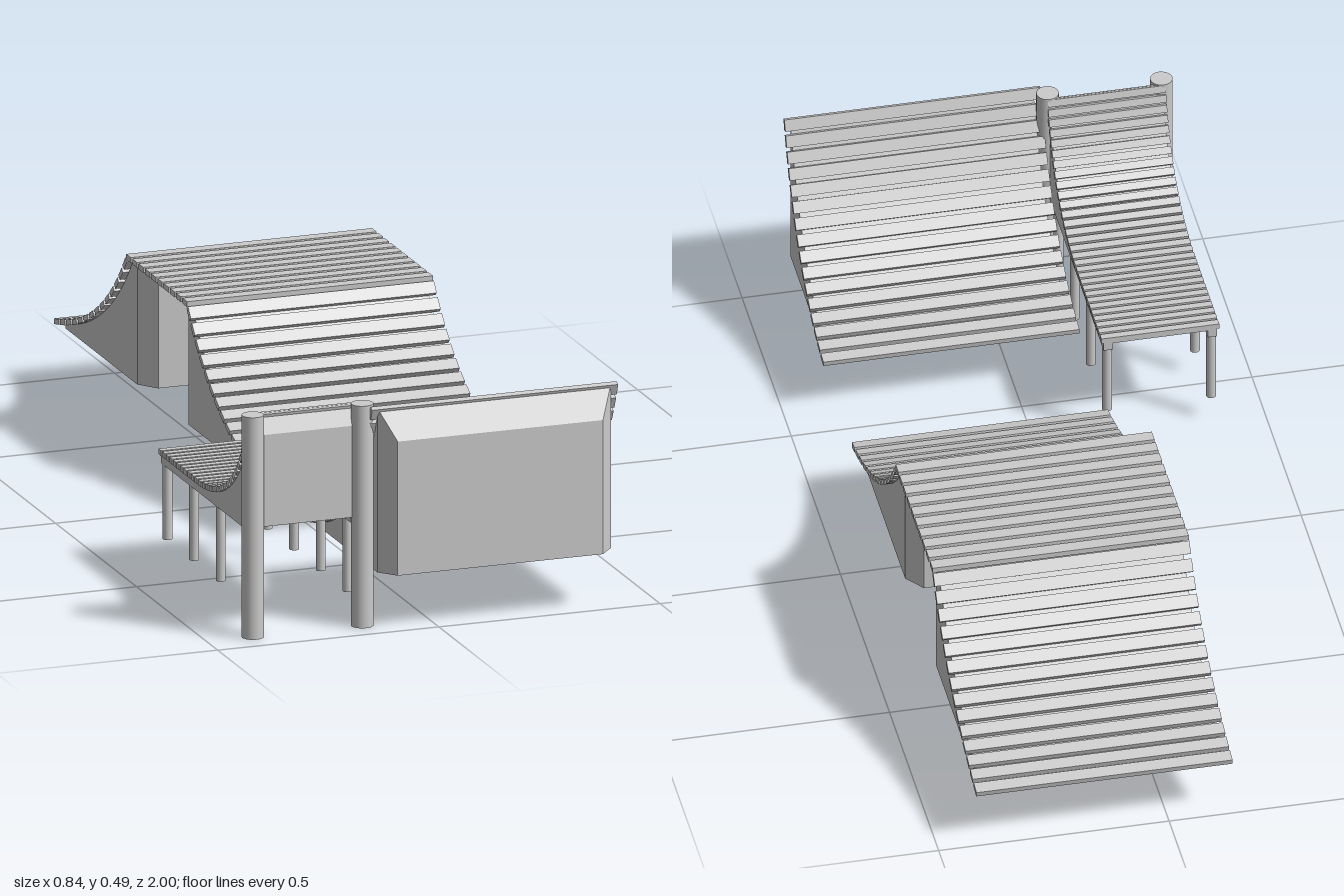
import * as THREE from 'three';
import { ConvexGeometry } from 'three/addons/geometries/ConvexGeometry.js';

const grey = new THREE.MeshStandardMaterial({ color: 0xcccccc });
const flat = new THREE.MeshStandardMaterial({ color: 0xcccccc, flatShading: true });
const THICK = 0.012; // plank thickness

function add(parent, geometry, name, x = 0, y = 0, z = 0, material = flat) {
  const mesh = new THREE.Mesh(geometry, material);
  mesh.name = name;
  mesh.position.set(x, y, z);
  parent.add(mesh);
  return mesh;
}

// Curves live in the (z, y) plane and run from the foot of a ramp to its lip.
const v = (z, y) => new THREE.Vector2(z, y);

// Point at u, moved square to the curve by d (negative is below the riding surface)
function offsetPoint(curve, u, d) {
  const p = curve.getPointAt(u);
  const t = curve.getTangentAt(u);
  return v(p.x - t.y * d, p.y + t.x * d);
}

// Row of separate planks laid along a curve
function addPlanks(parent, curve, count, width, x, name) {
  const row = new THREE.Group();
  row.name = name;
  const geometry = new THREE.BoxGeometry(width, THICK, (curve.getLength() / count) * 0.74);
  for (let i = 0; i < count; i++) {
    const u = (i + 0.5) / count;
    const p = offsetPoint(curve, u, -THICK / 2);
    const t = curve.getTangentAt(u);
    add(row, geometry, 'plank', x, p.y, p.x).rotation.x = Math.atan2(-t.y, t.x);
  }
  parent.add(row);
}

// Solid below the planks: the curve closed by a flat bottom and an upright back
function addBody(parent, curve, { start, bottom, back, top, width, x, name }) {
  const points = [];
  for (let i = 0; i <= 20; i++) {
    const p = offsetPoint(curve, start + (1 - start) * (i / 20), -THICK);
    points.push(v(Math.min(p.x, back), Math.min(Math.max(p.y, bottom + 0.001), top)));
  }
  const shape = new THREE.Shape([v(points[0].x, bottom), ...points, v(back, top), v(back, bottom)]);
  const geometry = new THREE.ExtrudeGeometry(shape, { depth: width, bevelEnabled: false });
  geometry.translate(0, 0, -width / 2).rotateY(-Math.PI / 2);
  add(parent, geometry, name, x);
}

// Back wall that narrows towards its outer face
function addBackWall(parent, { x, width, bottom, top, z, outerWidth, outerTop, outerZ }) {
  const corners = [];
  for (const s of [-0.5, 0.5]) {
    for (const y of [bottom, top]) corners.push(new THREE.Vector3(x + s * width, y, z));
    for (const y of [bottom, outerTop]) corners.push(new THREE.Vector3(x + s * outerWidth, y, outerZ));
  }
  add(parent, new ConvexGeometry(corners), 'backWall');
}

function quarterPipe() {
  const g = new THREE.Group();
  g.name = 'largeQuarterPipe';
  const x = 0.139;
  const curve = new THREE.QuadraticBezierCurve(v(0.557, 0.137), v(0.845, 0.18), v(0.959, 0.494));
  addPlanks(g, curve, 16, 0.556, x, 'ridingSurface');
  addBody(g, curve, { start: 0.07, bottom: 0.123, back: 0.962, top: 0.487, width: 0.528, x, name: 'rampBody' });
  addBackWall(g, { x, width: 0.528, bottom: 0.123, top: 0.487, z: 0.962, outerWidth: 0.464, outerTop: 0.42, outerZ: 1 });
  return g;
}

function funBox() {
  const g = new THREE.Group();
  g.name = 'doubleRamp';
  g.position.set(0.139, 0, -0.361);
  // Two ramps back to back, the second turned half round
  for (const turn of [0, Math.PI]) {
    const ramp = new THREE.Group();
    ramp.name = turn ? 'frontRamp' : 'rearRamp';
    ramp.rotation.y = turn;
    const curve = new THREE.QuadraticBezierCurve(v(-0.639, 0.136), v(-0.339, 0.195), v(-0.191, 0.4));
    addPlanks(ramp, curve, 14, 0.556, 0, 'ridingSurface');
    addBody(ramp, curve, { start: 0.07, bottom: 0.123, back: -0.157, top: 0.392, width: 0.528, x: 0, name: 'rampBody' });
    addBackWall(ramp, { x: 0, width: 0.528, bottom: 0.123, top: 0.392, z: -0.157, outerWidth: 0.464, outerTop: 0.392, outerZ: -0.115 });
    g.add(ramp);
  }
  // Level deck bridging the two ramps
  addPlanks(g, new THREE.LineCurve(v(-0.193, 0.405), v(0.193, 0.405)), 10, 0.556, 0, 'deck');
  add(g, new THREE.BoxGeometry(0.528, 0.004, 0.35), 'deckSheet', 0, 0.391, 0);
  return g;
}

function smallPipe() {
  const g = new THREE.Group();
  g.name = 'raisedQuarterPipe';
  const x = -0.272;
  const curve = new THREE.CurvePath();
  curve.add(new THREE.LineCurve(v(0.36, 0.257), v(0.6, 0.257)));
  curve.add(new THREE.QuadraticBezierCurve(v(0.6, 0.257), v(0.85, 0.257), v(0.91, 0.492)));
  addPlanks(g, curve, 30, 0.256, x, 'ridingSurface');
  const common = { start: 0.005, back: 0.915, top: 0.488 };
  addBody(g, curve, { ...common, bottom: 0.242, width: 0.22, x, name: 'rampBody' });
  addBackWall(g, { x, width: 0.244, bottom: 0.242, top: 0.488, z: 0.915, outerWidth: 0.244, outerTop: 0.445, outerZ: 0.935 });

  // Side boards, tall back posts and four short legs per side
  const post = new THREE.CylinderGeometry(0.024, 0.024, 0.492, 24);
  const leg = new THREE.CylinderGeometry(0.0105, 0.0105, 0.167, 16);
  for (const s of [-1, 1]) {
    addBody(g, curve, { ...common, bottom: 0.225, width: 0.02, x: x + s * 0.113, name: 'sideBoard' });
    add(g, post, 'backPost', x + s * 0.1235, 0.246, 0.932, grey);
    for (let i = 0; i < 4; i++) add(g, leg, 'leg', x + s * 0.113, 0.1435, 0.377 + i * 0.1643, grey);
  }
  return g;
}

export function createModel() {
  const model = new THREE.Group();
  model.name = 'skateRamps';
  model.add(quarterPipe(), funBox(), smallPipe());
  return model;
}
